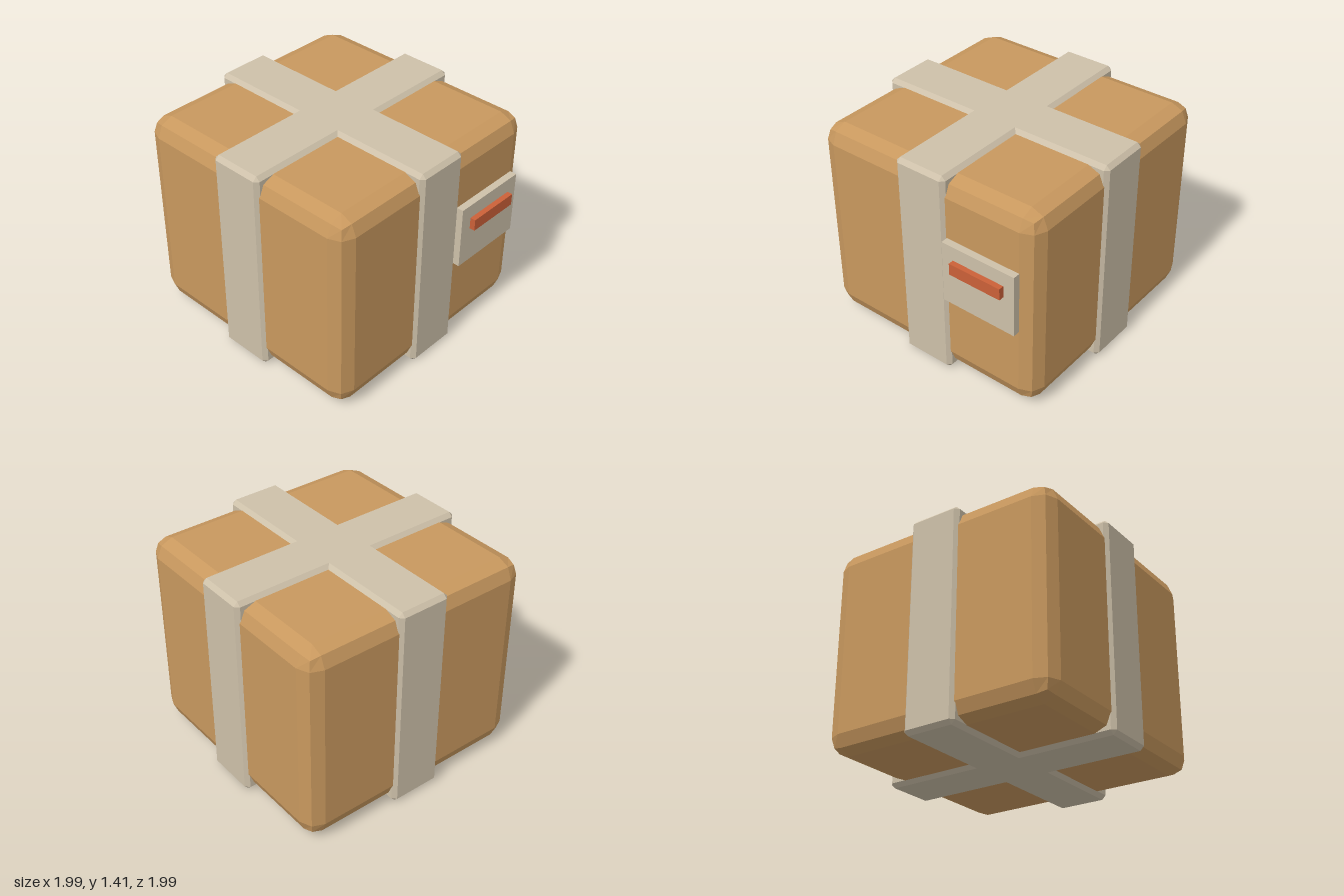
import * as THREE from 'three';
import { RoundedBoxGeometry } from 'three/addons/geometries/RoundedBoxGeometry.js';
import { ConvexGeometry } from 'three/addons/geometries/ConvexGeometry.js';

const H = 1.41; // overall height

// Box with a single flat chamfer on every edge
function chamferBox(w, h, d, c) {
  const half = [w / 2, h / 2, d / 2];
  const points = [];
  for (const sx of [-1, 1]) for (const sy of [-1, 1]) for (const sz of [-1, 1]) {
    const s = [sx, sy, sz];
    for (let full = 0; full < 3; full++) {
      points.push(new THREE.Vector3(...half.map((v, i) => s[i] * (i === full ? v : v - c))));
    }
  }
  return new ConvexGeometry(points);
}

function material(name, color) {
  const m = new THREE.MeshStandardMaterial({ color });
  m.name = name;
  return m;
}

export function createModel() {
  const cardboard = material('cardboard', 0xc8985e);
  const tape = material('tape', 0xcdc0a9);
  const red = material('red', 0xcb6038);

  const group = new THREE.Group();
  group.name = 'parcel';
  const turned = new THREE.Group();
  turned.name = 'turnedParcel';
  turned.rotation.y = THREE.MathUtils.degToRad(20);
  group.add(turned);

  const add = (name, geometry, mat, x, y, z) => {
    const mesh = new THREE.Mesh(geometry, mat);
    mesh.name = name;
    mesh.position.set(x, y, z);
    turned.add(mesh);
    return mesh;
  };

  // Carton body with faceted rounded edges
  const body = new RoundedBoxGeometry(1.614, 1.36, 1.614, 1, 0.11);
  body.computeVertexNormals();
  add('carton', body, cardboard, 0, H / 2, 0);

  // Two crossing straps wrapped around the carton
  const strap = chamferBox(0.36, H, 1.655, 0.026);
  add('strapFrontToBack', strap, tape, 0, H / 2, 0);
  add('strapSideToSide', strap, tape, 0, H / 2, 0).rotation.y = Math.PI / 2;

  // Shipping label with a red stripe
  add('label', new THREE.BoxGeometry(0.52, 0.42, 0.06), tape, 0.44, 0.79, 0.823);
  add('labelStripe', new THREE.BoxGeometry(0.365, 0.078, 0.045), red, 0.443, 0.866, 0.866);

  return group;
}
